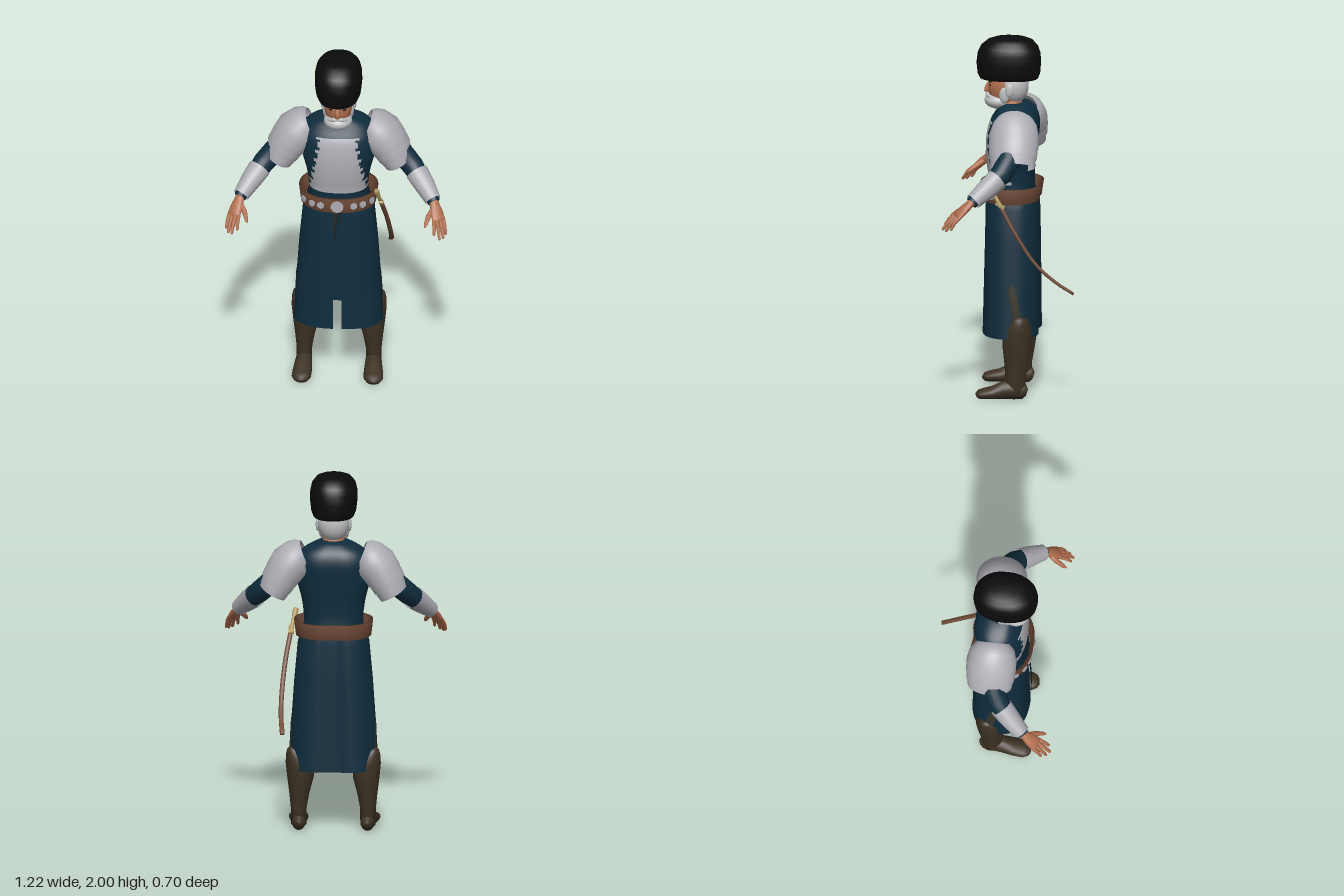
import * as THREE from 'three';

const V = (x, y, z) => new THREE.Vector3(x, y, z);
const vecs = (list) => list.map((p) => V(...p));

// Skin a list of equal-length rings; pick(centre) chooses a material index per cell
function loft(rings, { closed = true, cap = true, pick = null } = {}) {
  const n = rings[0].length, m = closed ? n : n - 1, pos = [], lists = [[], []];
  rings.forEach((r) => r.forEach((p) => pos.push(p.x, p.y, p.z)));
  for (let i = 0; i < rings.length - 1; i++) for (let j = 0; j < m; j++) {
    const k = (j + 1) % n, a = i * n + j, b = i * n + k, c = a + n, d = b + n;
    const mid = rings[i][j].clone().add(rings[i + 1][k]).multiplyScalar(0.5);
    lists[pick ? pick(mid, i) : 0].push(a, b, c, b, d, c);
  }
  if (cap && closed) [0, rings.length - 1].forEach((i) => {
    const c = rings[i].reduce((s, p) => s.add(p), V(0, 0, 0)).divideScalar(n), q = pos.length / 3;
    pos.push(c.x, c.y, c.z);
    for (let j = 0; j < n; j++) {
      const a = i * n + j, b = i * n + (j + 1) % n;
      lists[0].push(...(i ? [a, b, q] : [b, a, q]));
    }
  });
  const g = new THREE.BufferGeometry();
  g.setAttribute('position', new THREE.Float32BufferAttribute(pos, 3));
  g.setIndex([...lists[0], ...lists[1]]);
  if (pick) {
    g.addGroup(0, lists[0].length, 0);
    g.addGroup(lists[0].length, lists[1].length, 1);
  }
  g.computeVertexNormals();
  return g;
}

// Horizontal oval: separate front and back depths, optional front gap and back crease
function oval(y, rx, zf, zb, { p = 1, cx = 0, n = 40, gap = 0, crease = 0 } = {}) {
  const out = [], pw = (v) => Math.sign(v) * Math.abs(v) ** p;
  for (let j = 0; j < n; j++) {
    const a = gap ? gap + (2 * Math.PI - 2 * gap) * j / (n - 1) : 2 * Math.PI * j / n;
    const c = Math.cos(a), dent = 1 - crease * Math.exp(-(((a - Math.PI) / 0.22) ** 2));
    const mid = (zf + zb) / 2, half = (zf - zb) / 2;
    out.push(V(cx + rx * pw(Math.sin(a)), y, mid + half * pw(c) * dent));
  }
  return out;
}

// Sweep an ellipse [along ref, across ref] along a path; arc < 2*PI leaves it open opposite ref
function sweep(path, radii, ref = [0, 1, 0], n = 16, arc = 0) {
  const pts = vecs(path);
  const rings = pts.map((c, i) => {
    const d = pts[Math.min(i + 1, pts.length - 1)].clone().sub(pts[Math.max(i - 1, 0)]).normalize();
    const u = V(...ref).addScaledVector(d, -V(...ref).dot(d)).normalize();
    const v = d.clone().cross(u), [ru, rv] = [radii[i]].flat().length > 1 ? radii[i] : [radii[i], radii[i]];
    return Array.from({ length: n }, (_, j) => {
      const a = arc ? -arc / 2 + arc * j / (n - 1) : 2 * Math.PI * j / n;
      return c.clone().addScaledVector(u, ru * Math.cos(a)).addScaledVector(v, rv * Math.sin(a));
    });
  });
  return loft(rings, { closed: !arc });
}

function mirrored(geo) {
  const g = geo.clone().scale(-1, 1, 1), ix = g.index.array;
  for (let i = 0; i < ix.length; i += 3) [ix[i], ix[i + 1]] = [ix[i + 1], ix[i]];
  return g;
}

const ball = (x, y, z, rx, ry, rz) => new THREE.SphereGeometry(1, 28, 18).scale(rx, ry, rz).translate(x, y, z);

export function createModel() {
  const model = new THREE.Group();
  const mat = (name, color, side = THREE.FrontSide) => {
    const m = new THREE.MeshStandardMaterial({ color, side });
    m.name = name;
    return m;
  };
  const fur = mat('black fur', 0x0b0b0b), cloth = mat('dark blue cloth', 0x0f2d3e, THREE.DoubleSide);
  const steel = mat('pale steel', 0xadadb4, THREE.DoubleSide), skin = mat('skin', 0xb06e4e);
  const leather = mat('brown leather', 0x6e4a36), boot = mat('dark boot leather', 0x3d3224);
  const hair = mat('white hair', 0xbcbec0), brass = mat('brass', 0xb59c62), olive = mat('olive cloth', 0x34342a);

  const add = (name, geo, material) => {
    const m = new THREE.Mesh(geo, material);
    m.name = name;
    model.add(m);
  };
  const pair = (name, geo, material) => {
    add(name + 'Left', geo, material);
    add(name + 'Right', mirrored(geo), material);
  };

  // Fur hat: [y, half width, front z, back z]
  add('furHat', loft([[1.768, 0.085, 0.16, -0.1], [1.772, 0.112, 0.19, -0.13], [1.8, 0.123, 0.203, -0.141],
    [1.86, 0.13, 0.209, -0.146], [1.91, 0.129, 0.203, -0.142], [1.95, 0.12, 0.185, -0.128], [1.98, 0.098, 0.15, -0.1],
    [1.994, 0.07, 0.11, -0.065], [2.0, 0.03, 0.06, -0.015]].map(([y, ...r]) => oval(y, ...r, { p: 0.88 }))), fur);

  // Head
  add('neck', sweep([[0, 1.54, 0.005], [0, 1.6, 0.015], [0, 1.7, 0.03]], [0.075, 0.062, 0.062]), skin);
  add('face', ball(0, 1.72, 0.045, 0.08, 0.12, 0.1), skin);
  add('hair', ball(0, 1.73, 0.008, 0.088, 0.105, 0.086), hair);
  add('beard', ball(0, 1.643, 0.088, 0.078, 0.047, 0.077), hair);
  add('nose', sweep([[0, 1.75, 0.136], [0, 1.715, 0.152], [0, 1.698, 0.153], [0, 1.69, 0.142]],
    [0.008, 0.012, 0.016, 0.01], [1, 0, 0], 10), skin);
  pair('moustache', sweep([[0, 1.682, 0.15], [0.025, 1.677, 0.146], [0.055, 1.662, 0.122]], [0.009, 0.012, 0.006], [0, 1, 0], 10), hair);
  pair('sideburn', ball(0.07, 1.69, 0.05, 0.016, 0.05, 0.028), hair);
  pair('ear', ball(0.087, 1.718, 0.02, 0.012, 0.038, 0.024), hair);
  pair('eye', ball(0.033, 1.735, 0.132, 0.014, 0.008, 0.005), fur);
  pair('eyebrow', new THREE.BoxGeometry(0.036, 0.008, 0.009).rotateZ(0.12).rotateY(0.3).translate(0.036, 1.754, 0.13), fur);

  // Torso with a ragged-edged steel chest panel
  const keys = [[1.08, 0.172, 0.14, -0.125], [1.2, 0.163, 0.138, -0.112], [1.3, 0.175, 0.152, -0.118],
    [1.42, 0.203, 0.155, -0.132], [1.52, 0.205, 0.138, -0.14], [1.58, 0.175, 0.105, -0.122],
    [1.62, 0.11, 0.082, -0.085], [1.635, 0.07, 0.07, -0.055]];
  const shape = new THREE.CatmullRomCurve3(keys.map((k) => V(k[1], k[0], k[2])));
  const back = new THREE.CatmullRomCurve3(keys.map((k) => V(k[3], k[0], 0)));
  const rows = Array.from({ length: 43 }, (_, i) => {
    const s = shape.getPoint(i / 42);
    return oval(s.y, s.x, s.z, back.getPoint(i / 42).x, { p: 0.85, n: 88, crease: 0.05 });
  });
  const chest = (c, row) => {
    const half = THREE.MathUtils.lerp(0.155, 0.108, THREE.MathUtils.smoothstep(c.y, 1.2, 1.5));
    return c.z > 0 && c.y > 1.2 && c.y < 1.545 && Math.abs(c.x) < half + 0.012 * Math.sin(row * 2.3) ? 1 : 0;
  };
  add('torso', loft(rows, { pick: chest }), [cloth, steel]);

  // Long coat skirt, open at the front and creased at the back
  add('coatSkirt', loft([[1.13, 0.172, 0.145, -0.13], [1.06, 0.196, 0.156, -0.142], [0.85, 0.215, 0.16, -0.146],
    [0.6, 0.232, 0.166, -0.148], [0.35, 0.246, 0.172, -0.15]].reverse()
    .map(([y, ...r]) => oval(y, ...r, { p: 0.8, n: 72, gap: 0.055, crease: 0.13 })), { closed: false }), cloth);

  // Trousers and boots
  pair('trouserLeg', sweep([[0.19, 0.38, -0.03], [0.16, 0.6, -0.005], [0.11, 0.85, 0.01], [0.08, 1.1, 0.01]],
    [0.055, 0.075, 0.092, 0.085], [0, 0, 1], 20), olive);
  pair('bootShaft', loft([[0.03, 0.042, 0.03, -0.08, 0.19], [0.12, 0.043, 0.032, -0.078, 0.19], [0.2, 0.054, 0.038, -0.092, 0.187],
    [0.3, 0.073, 0.05, -0.108, 0.18], [0.38, 0.077, 0.045, -0.113, 0.184], [0.43, 0.062, 0.02, -0.102, 0.197],
    [0.46, 0.042, -0.005, -0.088, 0.21], [0.472, 0.02, -0.03, -0.07, 0.22]]
    .map(([y, rx, zf, zb, cx]) => oval(y, rx, zf, zb, { cx, n: 24 }))), boot);
  pair('bootFoot', sweep([[0.188, 0.04, -0.086], [0.188, 0.045, -0.07], [0.19, 0.055, -0.02], [0.192, 0.052, 0.04],
    [0.195, 0.037, 0.1], [0.198, 0.03, 0.155], [0.199, 0.026, 0.182], [0.2, 0.024, 0.194]],
    [[0.02, 0.018], [0.043, 0.035], [0.055, 0.043], [0.051, 0.047], [0.036, 0.053], [0.029, 0.053], [0.023, 0.038], [0.009, 0.018]]), boot);

  // Belt with hexagonal studs
  const belt = { p: 0.9, n: 64, crease: 0.1 };
  add('belt', loft([[1.1, 0.187, 0.16, -0.135], [1.1, 0.207, 0.18, -0.152], [1.185, 0.217, 0.188, -0.165],
    [1.185, 0.2, 0.17, -0.148], [1.1, 0.187, 0.16, -0.135]].map(([y, ...r]) => oval(y, ...r, belt)), { cap: false }), leather);
  [-0.185, -0.138, -0.09, 0, 0.09, 0.138, 0.185].forEach((x) => {
    const s = Math.sign(x) * Math.abs(x / 0.212) ** (1 / 0.9), c = Math.sqrt(1 - s * s);
    const stud = new THREE.CylinderGeometry(x ? 0.021 : 0.036, x ? 0.021 : 0.036, 0.014, x ? 6 : 10).rotateX(Math.PI / 2);
    add('beltStud', stud.rotateY(Math.atan2(s / 0.212, c / 0.175)).translate(x, 1.143, 0.013 + 0.171 * c ** 0.9), steel);
  });

  // Arms
  pair('sleeve', sweep([[0.17, 1.53, -0.03], [0.28, 1.45, -0.015], [0.36, 1.375, 0.005], [0.41, 1.325, 0.035],
    [0.46, 1.27, 0.09], [0.533, 1.192, 0.186]], [0.085, 0.072, 0.062, 0.06, 0.05, 0.034], [0.7, 0.7, 0], 20), cloth);
  pair('bracer', sweep([[0.432, 1.3, 0.055], [0.475, 1.255, 0.108], [0.527, 1.198, 0.178]],
    [0.063, 0.057, 0.044], [0.7, 0.7, 0], 20, Math.PI * 1.999), steel);

  // Shoulder armour: a dome and two overlapping lames, open under the arm
  const plate = (name, path, radii) =>
    pair(name, sweep(path.map(([x, y]) => [x, y, -0.02]), radii, [0.8, 0.6, 0], 30, 4.9), steel);
  plate('shoulderDome', [[0.155, 1.56], [0.172, 1.553], [0.19, 1.543], [0.235, 1.5], [0.275, 1.44]],
    [[0.075, 0.09], [0.092, 0.108], [0.106, 0.122], [0.117, 0.137], [0.109, 0.137]]);
  plate('upperLame', [[0.262, 1.46], [0.283, 1.425], [0.302, 1.393]], [[0.105, 0.13], [0.106, 0.134], [0.102, 0.132]]);
  plate('lowerLame', [[0.288, 1.415], [0.308, 1.378], [0.326, 1.345]], [[0.097, 0.122], [0.094, 0.125], [0.087, 0.122]]);

  // Hands
  const across = [0.8, 0, -0.6];
  pair('palm', sweep([[0.522, 1.203, 0.172], [0.535, 1.185, 0.195], [0.548, 1.155, 0.228], [0.56, 1.125, 0.258], [0.564, 1.115, 0.266]],
    [[0.028, 0.024], [0.027, 0.021], [0.037, 0.021], [0.04, 0.017], [0.034, 0.01]], across), skin);
  [[-0.031, 0.54, 1.062, 0.332], [-0.011, 0.57, 1.043, 0.343], [0.011, 0.59, 1.04, 0.323], [0.03, 0.602, 1.05, 0.295]].forEach(([t, x, y, z]) => {
    const k = [0.56 + t * 0.8, 1.125, 0.258 - t * 0.6];
    pair('finger', sweep([k, [(k[0] + x) / 2 + 0.002, (k[1] + y) / 2 + 0.007, (k[2] + z) / 2 + 0.004], [x, y + 0.006, z - 0.003], [x, y, z]],
      [0.011, 0.0105, 0.008, 0.003], across, 8), skin);
  });
  pair('thumb', sweep([[0.533, 1.168, 0.215], [0.505, 1.14, 0.255], [0.492, 1.112, 0.293], [0.488, 1.1, 0.31]],
    [0.018, 0.015, 0.011, 0.004], across, 8), skin);

  // Curved sword hanging on the left hip
  const curve = new THREE.CatmullRomCurve3(vecs([[0.236, 1.1, 0.055], [0.262, 0.96, -0.025], [0.278, 0.79, -0.14],
    [0.276, 0.69, -0.25], [0.265, 0.622, -0.35]]));
  add('scabbard', sweep(curve.getPoints(16).map((p) => p.toArray()),
    Array.from({ length: 17 }, (_, i) => [0.013, 0.011 - i * 0.0002]), [1, 0, 0], 12), leather);
  add('hilt', sweep([[0.21, 1.215, 0.118], [0.214, 1.2, 0.11], [0.224, 1.155, 0.087], [0.237, 1.095, 0.052]],
    [0.012, 0.016, 0.01, 0.013], [1, 0, 0], 12), brass);
  add('crossGuard', new THREE.BoxGeometry(0.03, 0.012, 0.055).rotateX(-0.5).translate(0.235, 1.105, 0.058), brass);

  return model;
}
